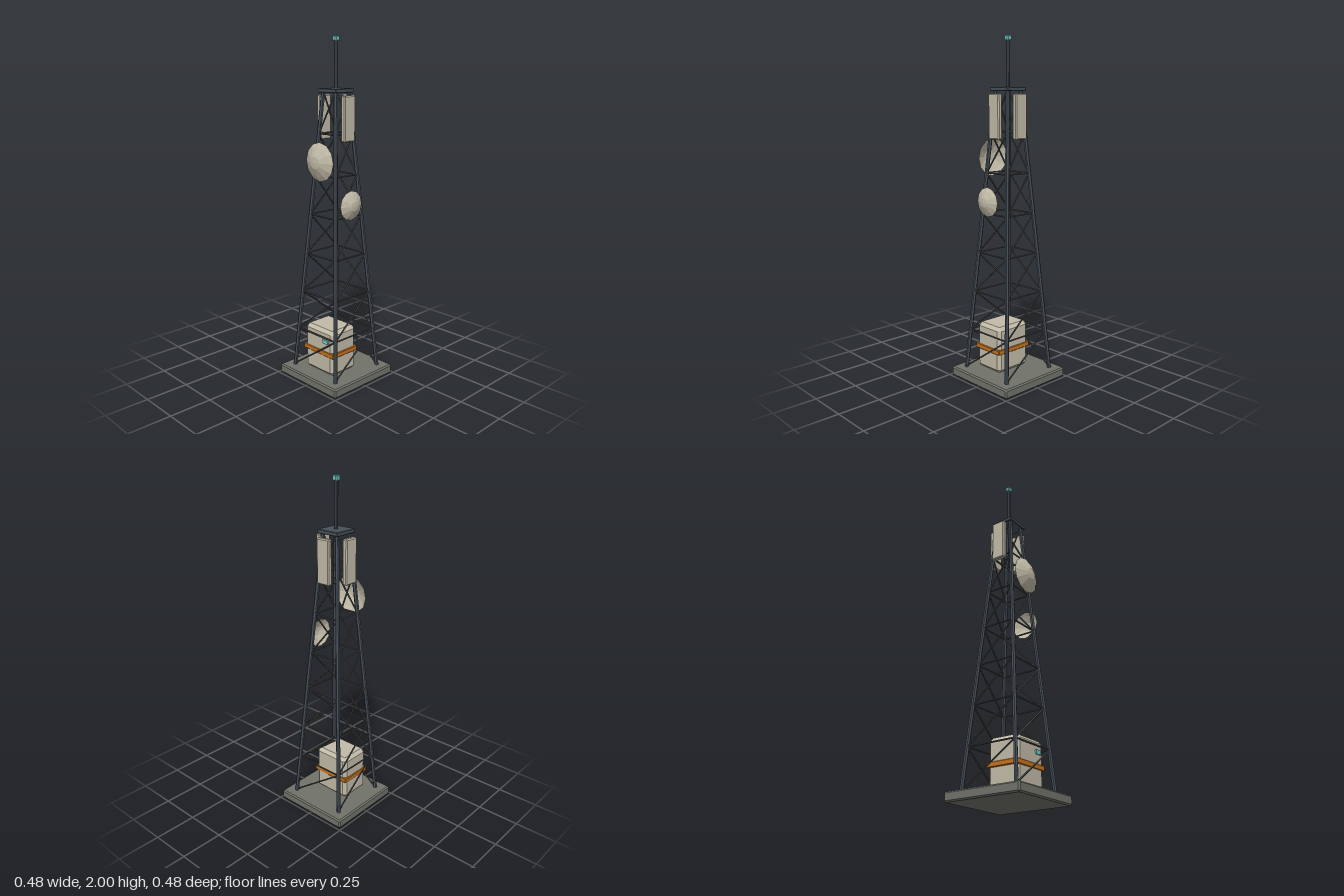
import * as THREE from 'three';
import { ConvexGeometry } from 'three/addons/geometries/ConvexGeometry.js';

const material = (name, color, extra = {}) => {
  const m = new THREE.MeshStandardMaterial({ color, flatShading: true, ...extra });
  m.name = name;
  return m;
};

export function createModel() {
  const steel = material('dark steel', 0x465059);
  const brace = material('brace grey', 0x4c504f);
  const concrete = material('concrete', 0x70736a);
  const cream = material('cream', 0xc2bba8);
  const dishPaint = material('dish cream', 0xc2bba8, { side: THREE.DoubleSide });
  const orange = material('orange', 0xc9731c);
  const cyan = material('cyan', 0x6fc6c2);

  const model = new THREE.Group();
  model.name = 'latticeTower';
  const add = (parent, name, geometry, mat, x = 0, y = 0, z = 0) => {
    const mesh = new THREE.Mesh(geometry, mat);
    mesh.name = name;
    mesh.position.set(x, y, z);
    parent.add(mesh);
    return mesh;
  };
  const group = (name) => {
    const g = new THREE.Group();
    g.name = name;
    model.add(g);
    return g;
  };

  // Box with every edge cut by a flat chamfer
  const chamferBox = (w, h, d, c) => {
    const pts = [];
    for (const sx of [-1, 1]) for (const sy of [-1, 1]) for (const sz of [-1, 1]) {
      const x = w / 2, y = h / 2, z = d / 2;
      pts.push(new THREE.Vector3(sx * x, sy * (y - c), sz * (z - c)));
      pts.push(new THREE.Vector3(sx * (x - c), sy * y, sz * (z - c)));
      pts.push(new THREE.Vector3(sx * (x - c), sy * (y - c), sz * z));
    }
    return new ConvexGeometry(pts);
  };

  // Straight bar between two points
  const up = new THREE.Vector3(0, 1, 0);
  const strut = (parent, name, a, b, radius, sides, mat) => {
    const dir = b.clone().sub(a);
    const mid = a.clone().add(b).multiplyScalar(0.5);
    const mesh = add(parent, name, new THREE.CylinderGeometry(radius, radius, dir.length(), sides), mat, mid.x, mid.y, mid.z);
    mesh.quaternion.setFromUnitVectors(up, dir.normalize());
  };

  // Foundation
  add(model, 'foundation', chamferBox(0.48, 0.055, 0.48, 0.008), concrete, 0, 0.0275, 0);

  // Legs and bracing; corners run front right, front left, back left, back right
  const bottom = 0.06, top = 1.7, panels = 7;
  const signs = [[-1, 1], [1, 1], [1, -1], [-1, -1]];
  const corner = (i, level) => {
    const t = level / panels;
    const r = THREE.MathUtils.lerp(0.175, 0.05, t);
    const [sx, sz] = signs[i % 4];
    return new THREE.Vector3(sx * r, THREE.MathUtils.lerp(bottom, top, t), sz * r);
  };
  const legs = group('legs');
  const bracing = group('bracing');
  for (let i = 0; i < 4; i++) {
    strut(legs, 'leg', corner(i, -0.03), corner(i, panels), 0.012, 6, steel);
    for (let level = 0; level < panels; level++) {
      strut(bracing, 'diagonalBrace', corner(i, level), corner(i + 1, level + 1), 0.005, 5, brace);
      if (level > 0) strut(bracing, 'ringBrace', corner(i, level), corner(i + 1, level), 0.005, 5, brace);
    }
  }

  // Top plate, mast and beacon
  add(model, 'topPlate', chamferBox(0.144, 0.022, 0.144, 0.003), steel, 0, 1.705, 0);
  add(model, 'mast', new THREE.CylinderGeometry(0.011, 0.011, 0.27, 8), steel, 0, 1.84, 0);
  add(model, 'beacon', chamferBox(0.032, 0.03, 0.032, 0.005), cyan, 0, 1.985, 0);

  // Panel antennas on the left, right and back
  const antennas = group('panelAntennas');
  for (const angle of [Math.PI / 2, -Math.PI / 2, Math.PI]) {
    const antenna = add(antennas, 'panelAntenna', chamferBox(0.086, 0.254, 0.03, 0.006), cream,
      Math.sin(angle) * 0.097, 1.553, Math.cos(angle) * 0.097);
    antenna.rotation.y = angle;
  }

  // Shallow faceted dishes bulging outwards
  const dish = (name, radius, depth) => {
    const profile = [[1, 0], [0.77, 0.36], [0.32, 0.91], [0, 1]]
      .map(([r, h]) => new THREE.Vector2(r * radius, h * depth));
    const geometry = new THREE.LatheGeometry(profile, 12);
    geometry.rotateX(Math.PI / 2);
    return add(model, name, geometry, dishPaint);
  };
  dish('frontDish', 0.111, 0.042).position.set(0, 1.315, 0.127);
  const sideDish = dish('leftDish', 0.085, 0.033);
  sideDish.position.set(0.142, 1.073, 0.019);
  sideDish.rotation.y = Math.PI / 2;

  // Equipment cabinet with band and status light
  const cabinet = group('cabinet');
  add(cabinet, 'cabinetBody', chamferBox(0.236, 0.278, 0.194, 0.02), cream, 0, 0.194, 0.046);
  add(cabinet, 'cabinetBand', chamferBox(0.25, 0.03, 0.202, 0.004), orange, 0, 0.187, 0.046);
  add(cabinet, 'statusLight', new THREE.BoxGeometry(0.042, 0.024, 0.009), cyan, 0.062, 0.264, 0.146);

  return model;
}
